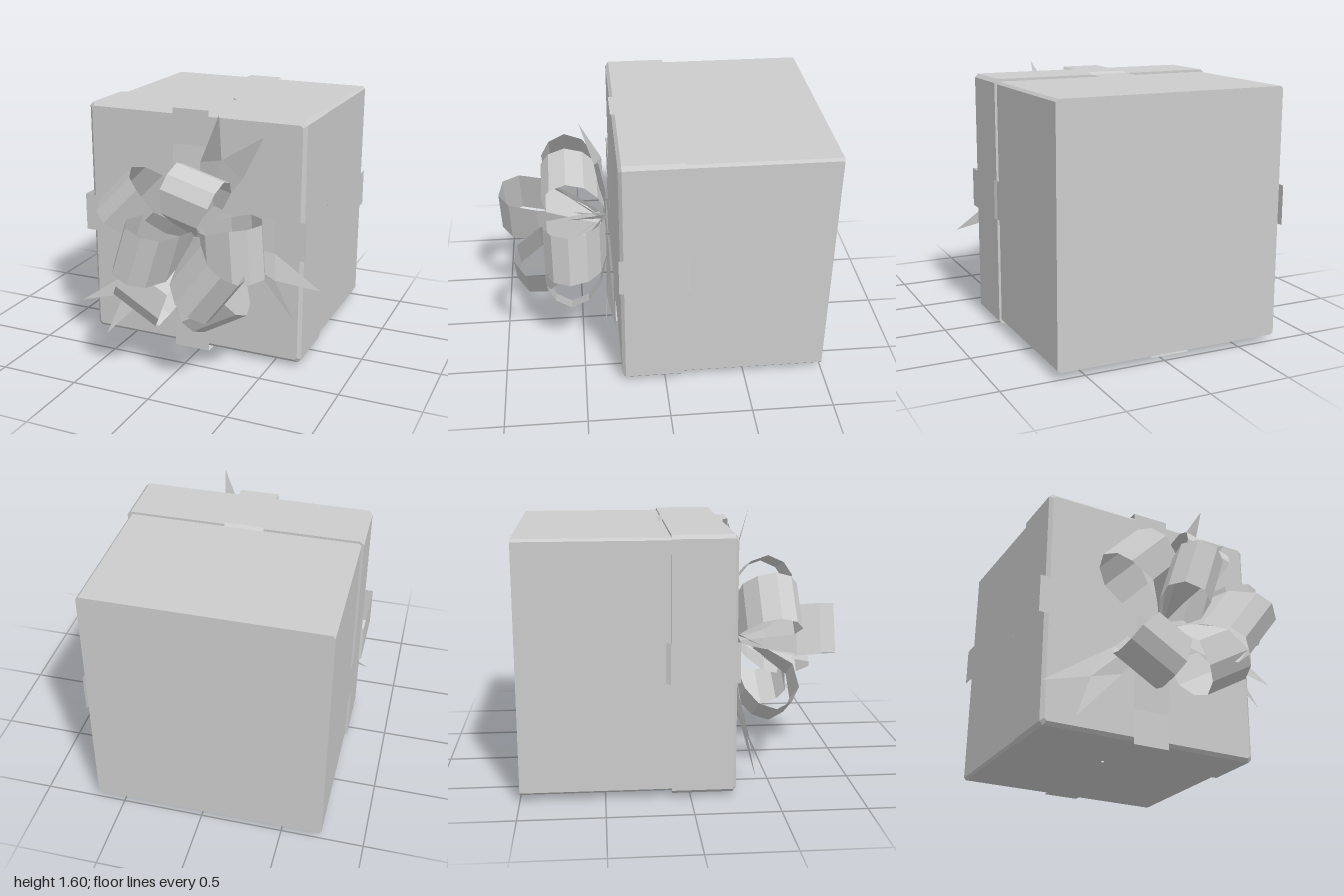
import * as THREE from 'three';

const paper = new THREE.MeshStandardMaterial({ color: 0xcccccc, flatShading: true, side: THREE.DoubleSide });
paper.name = 'plain grey';

// Surface through rows of points, optionally closed around each row and capped
function loft(name, rows, closed = false) {
  const pos = [];
  const tri = (a, b, c) => pos.push(...a, ...b, ...c);
  const n = rows[0].length;
  for (let i = 0; i < rows.length - 1; i++) {
    for (let j = 0; j < (closed ? n : n - 1); j++) {
      const k = (j + 1) % n;
      tri(rows[i][j], rows[i][k], rows[i + 1][k]);
      tri(rows[i][j], rows[i + 1][k], rows[i + 1][j]);
    }
  }
  if (closed) {
    const first = rows[0], last = rows[rows.length - 1];
    for (let j = 1; j < n - 1; j++) {
      tri(first[0], first[j + 1], first[j]);
      tri(last[0], last[j], last[j + 1]);
    }
  }
  return makeMesh(name, pos);
}

function makeMesh(name, pos) {
  const g = new THREE.BufferGeometry();
  g.setAttribute('position', new THREE.Float32BufferAttribute(pos, 3));
  g.computeVertexNormals();
  const m = new THREE.Mesh(g, paper);
  m.name = name;
  return m;
}

// Rectangle with cut corners, counterclockwise seen from +z
function ring(x0, x1, y0, y1, c, z) {
  return [[x0 + c, y0], [x1 - c, y0], [x1, y0 + c], [x1, y1 - c],
    [x1 - c, y1], [x0 + c, y1], [x0, y1 - c], [x0, y0 + c]].map(([x, y]) => [x, y, z]);
}

// Bow loop: a closed band reaching along d, narrowing at the knot
const KNOT = new THREE.Vector3(0, 0.8, 0.335);
const FLAT = [[0, 0], [0.25, 0], [0.4, 0.04], [0.5, 0.12], [0.54, 0.23], [0.49, 0.33],
  [0.4, 0.38], [0.24, 0.36], [0.12, 0.2], [0, 0.02]];
const RAISED = [[0, 0], [0.2, -0.07], [0.42, -0.13], [0.57, -0.13], [0.66, -0.06], [0.66, 0.06],
  [0.58, 0.13], [0.4, 0.14], [0.2, 0.08], [0, 0]];

function bowLoop(name, dir, wide, halfWidth, scale, profile) {
  const d = new THREE.Vector3(...dir).normalize();
  const w = new THREE.Vector3(...wide).normalize();
  const n = new THREE.Vector3().crossVectors(w, d).normalize();
  if (n.z < 0) n.negate();
  return loft(name, profile.map(([a, b]) => {
    const h = halfWidth * (0.3 + 0.7 * Math.min(1, a / 0.36));
    const p = KNOT.clone().addScaledVector(d, a * scale).addScaledVector(n, b);
    return [-h, h].map((s) => p.clone().addScaledVector(w, s).toArray());
  }));
}

// Forked ribbon end with two long points
function tail(name, a, tip1, notch, tip2, b) {
  const c = [0, 0.8, 0.32];
  return makeMesh(name, [c, a, notch, c, notch, b, a, tip1, notch, b, notch, tip2].flat());
}

export function createModel() {
  const model = new THREE.Group();
  model.name = 'giftBox';

  // Box and lid, with the lid facing forward
  model.add(
    loft('boxBody', [-1, -0.11].map((z) => ring(-0.745, 0.665, 0.04, 1.54, 0.015, z)), true),
    loft('lid', [
      ring(-0.76, 0.68, 0.025, 1.555, 0.022, -0.11),
      ring(-0.76, 0.68, 0.025, 1.555, 0.022, 0.25),
      ring(-0.738, 0.658, 0.047, 1.533, 0.015, 0.27),
    ], true),
  );

  // Ribbons around the box, stepping out over the lid and open at the back
  const vertical = [[1.56, -0.98], [1.56, -0.145], [1.572, -0.12], [1.572, 0.28], [1.35, 0.277],
    [0.83, 0.31], [0.22, 0.277], [0, 0.28], [0, -0.12], [0.02, -0.145], [0.02, -0.98]];
  const horizontal = [[-0.79, -0.98], [-0.79, -0.145], [-0.805, -0.12], [-0.805, 0.28], [-0.5, 0.28],
    [0, 0.31], [0.5, 0.28], [0.7, 0.28], [0.7, -0.12], [0.69, -0.145], [0.69, -0.98]];
  model.add(
    loft('verticalRibbon', vertical.map(([y, z]) => [[-0.17, y, z], [0.067, y, z]])),
    loft('horizontalRibbon', horizontal.map(([x, z]) => [[x, 0.71, z], [x, 0.95, z]])),
  );

  // Bow
  const bow = new THREE.Group();
  bow.name = 'bow';
  bow.add(
    bowLoop('topLoop', [0.29, 0.96, 0], [0.97, -0.27, 0], 0.155, 0.92, FLAT),
    bowLoop('upperRightLoop', [-0.78, 0.63, 0], [0.7, 0.72, 0], 0.165, 1, FLAT),
    bowLoop('sideLoop', [1, 0.08, 0], [0.07, -1, 0], 0.165, 1, FLAT),
    bowLoop('lowerRightLoop', [-0.53, -0.85, 0], [0.87, -0.5, 0], 0.165, 1, FLAT),
    bowLoop('lowerLeftLoop', [0.56, -0.83, 0], [0.87, 0.5, 0], 0.16, 1, FLAT),
    bowLoop('raisedRightLoop', [-0.19, 0.09, 0.97], [0.3, 0.95, 0], 0.155, 1, RAISED),
    bowLoop('raisedLeftLoop', [0.4, -0.2, 0.6], [0.6, 0.8, 0], 0.17, 1, RAISED),
  );

  // Ribbon tails
  bow.add(
    tail('topTail', [0.04, 1.27, 0.34], [0.22, 1.6, 0.47], [0.2, 1.31, 0.39], [0.46, 1.47, 0.37], [0.31, 1.19, 0.33]),
    tail('leftTail', [0.52, 0.75, 0.32], [0.81, 0.55, 0.31], [0.53, 0.59, 0.35], [0.67, 0.35, 0.37], [0.42, 0.62, 0.33]),
    tail('rightTail', [-0.42, 0.51, 0.33], [-0.81, 0.24, 0.37], [-0.5, 0.33, 0.36], [-0.61, 0.05, 0.41], [-0.28, 0.4, 0.33]),
  );
  model.add(bow);
  return model;
}
